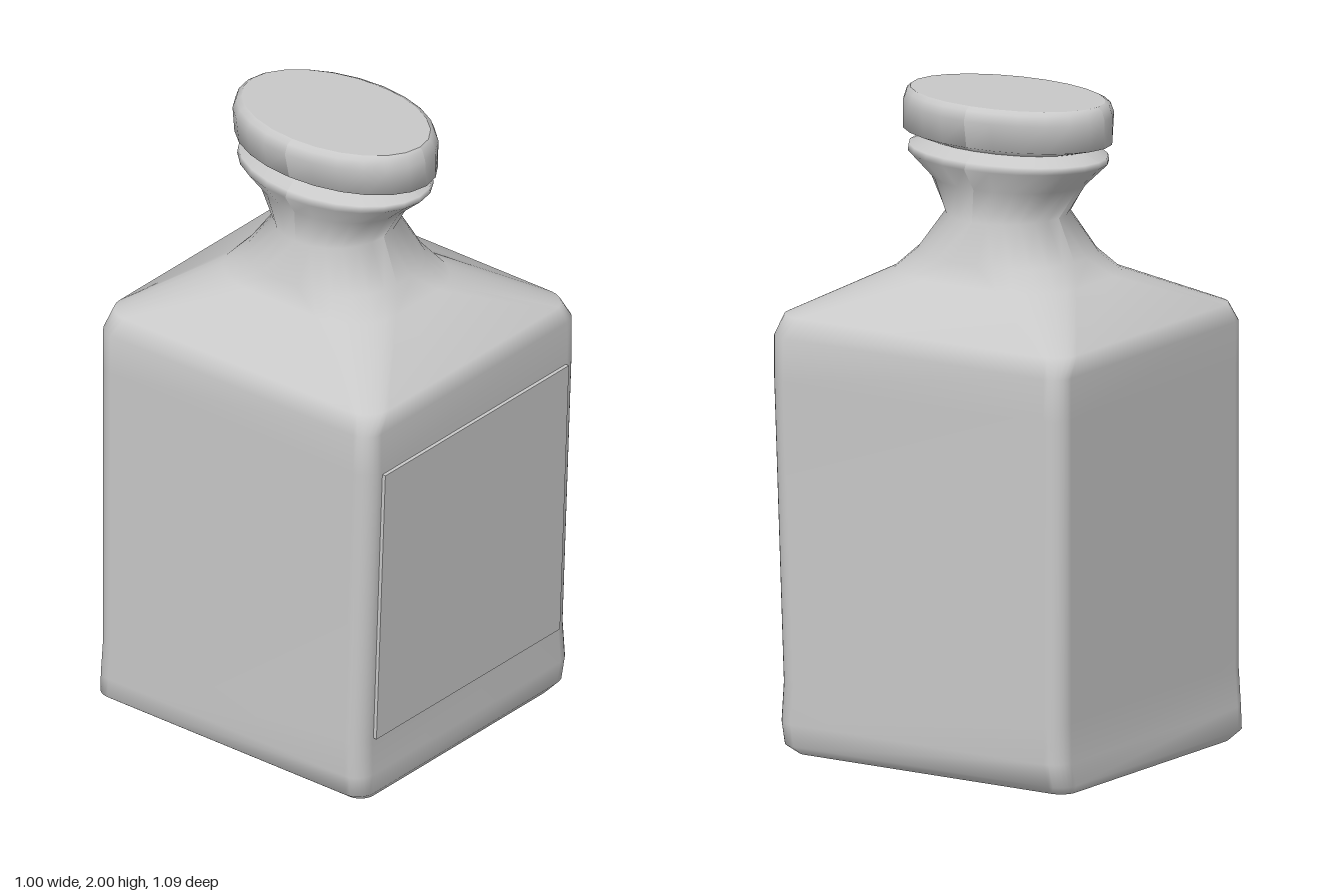
import * as THREE from 'three';

const CORNER_STEPS = 6;

// One horizontal ring: a rectangle with elliptical corners
function ring([y, hx, back, front, rx = hx, rz = (front - back) / 2]) {
  const points = [];
  const zc = (front + back) / 2, hz = (front - back) / 2;
  for (let corner = 0; corner < 4; corner++) {
    const sx = corner === 0 || corner === 3 ? 1 : -1;
    const sz = corner < 2 ? 1 : -1;
    for (let i = 0; i <= CORNER_STEPS; i++) {
      const a = (corner + i / CORNER_STEPS) * Math.PI / 2;
      points.push([sx * (hx - rx) + rx * Math.cos(a), y, zc + sz * (hz - rz) + rz * Math.sin(a)]);
    }
  }
  return points;
}

// Smooth skin through a stack of rings, closed at both ends
function loft(sections) {
  const rings = sections.map(ring);
  const n = rings[0].length;
  const position = rings.flat(2);
  const index = [];
  for (let r = 0; r < rings.length - 1; r++) {
    for (let i = 0; i < n; i++) {
      const j = (i + 1) % n, a = r * n + i, b = r * n + j;
      index.push(a, a + n, b, b, a + n, b + n);
    }
  }
  // Caps have their own vertices so they stay flat
  for (const top of [false, true]) {
    const loop = rings[top ? rings.length - 1 : 0];
    const [y, , back, front] = sections[top ? sections.length - 1 : 0];
    const centre = position.length / 3;
    position.push(0, y, (back + front) / 2, ...loop.flat());
    for (let i = 0; i < n; i++) {
      const a = centre + 1 + i, b = centre + 1 + (i + 1) % n;
      index.push(centre, top ? b : a, top ? a : b);
    }
  }
  const geometry = new THREE.BufferGeometry();
  geometry.setAttribute('position', new THREE.Float32BufferAttribute(position, 3));
  geometry.setIndex(index);
  geometry.computeVertexNormals();
  return geometry;
}

export function createModel() {
  const group = new THREE.Group();
  const grey = new THREE.MeshStandardMaterial({ color: 0xc8c8c8 });
  grey.name = 'plain grey';

  const add = (name, geometry) => {
    const mesh = new THREE.Mesh(geometry, grey);
    mesh.name = name;
    group.add(mesh);
    return mesh;
  };

  // Square body, sloping shoulders, pinched neck and flared lip
  // Rows: height, half width, back z, front z, corner radii
  add('bottle', loft([
    [0.00, 0.45, -0.51, 0.48, 0.05, 0.05],
    [0.03, 0.49, -0.535, 0.505, 0.06, 0.06],
    [0.10, 0.50, -0.525, 0.51, 0.06, 0.06],
    [0.22, 0.495, -0.52, 0.505, 0.06, 0.06],
    [1.15, 0.495, -0.52, 0.54, 0.06, 0.06],
    [1.28, 0.495, -0.52, 0.54, 0.06, 0.06],
    [1.34, 0.47, -0.51, 0.53, 0.08, 0.08],
    [1.46, 0.26, -0.31, 0.32, 0.16, 0.18],
    [1.52, 0.235, -0.26, 0.27, 0.20, 0.22],
    [1.64, 0.19, -0.18, 0.19],
    [1.74, 0.19, -0.25, 0.25],
    [1.81, 0.235, -0.325, 0.33],
    [1.83, 0.225, -0.325, 0.33],
    [1.86, 0.18, -0.25, 0.25],
  ]));

  // Oval stopper
  add('stopper', loft([
    [1.855, 0.18, -0.27, 0.27],
    [1.875, 0.22, -0.345, 0.355],
    [1.96, 0.237, -0.345, 0.35],
    [1.99, 0.225, -0.335, 0.34],
    [2.00, 0.205, -0.32, 0.33],
  ]));

  // Raised label on the front, leaning with the wall
  const label = add('frontLabel', new THREE.BoxGeometry(0.86, 0.92, 0.03));
  label.position.set(0, 0.68, 0.519);
  label.rotation.x = Math.atan2(0.035, 0.93);

  return group;
}
